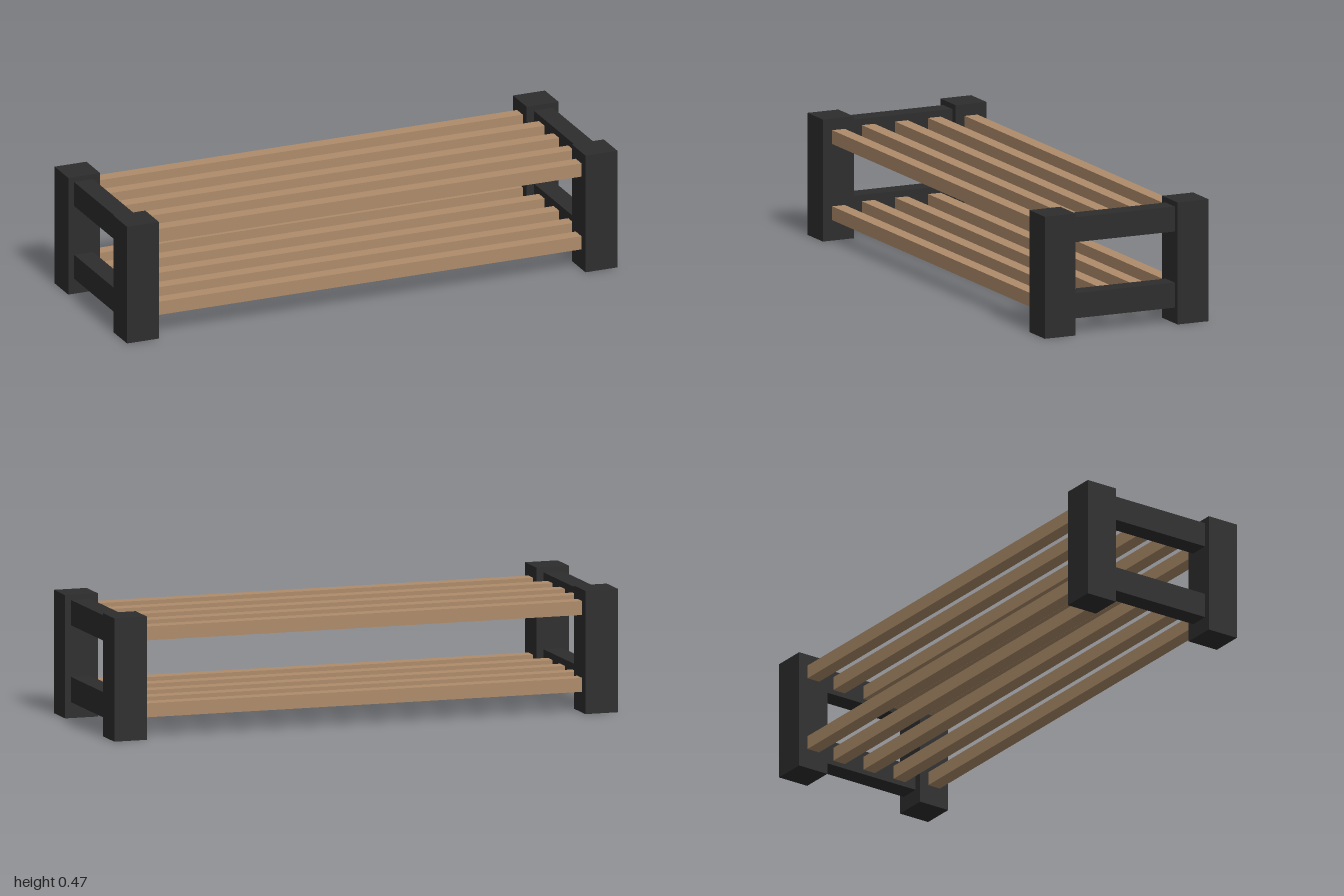
import * as THREE from 'three';

export function createModel() {
  const group = new THREE.Group();
  const black = new THREE.MeshStandardMaterial({ color: 0x2d2d2d });
  black.name = 'black frame';
  const wood = new THREE.MeshStandardMaterial({ color: 0xae8c6a });
  wood.name = 'light wood';

  const addBox = (name, material, size, position) => {
    const mesh = new THREE.Mesh(new THREE.BoxGeometry(...size), material);
    mesh.name = name;
    mesh.position.set(...position);
    group.add(mesh);
  };

  const shelfLevels = [0.108, 0.4];

  // End frames: two posts joined by a rail under each shelf
  for (const [side, x] of [['left', 1], ['right', -1]]) {
    for (const [end, z] of [['Front', 1], ['Back', -1]]) {
      addBox(`${side}${end}Post`, black, [0.13, 0.468, 0.129], [x * 0.935, 0.234, z * 0.2775]);
    }
    shelfLevels.forEach((y, i) => {
      addBox(`${side}${i ? 'Upper' : 'Lower'}Rail`, black, [0.077, 0.096, 0.426], [x * 0.9375, y, 0]);
    });
  }

  // Shelves: five slats each, spanning between the end frames
  shelfLevels.forEach((y, level) => {
    for (let i = 0; i < 5; i++) {
      const outer = i === 0 || i === 4;
      const length = outer ? 1.742 : 1.8;
      addBox(`${level ? 'upper' : 'lower'}Slat${i + 1}`, wood, [length, 0.053, 0.053], [0, y - 0.003, (i - 2) * 0.1385]);
    }
  });

  return group;
}
